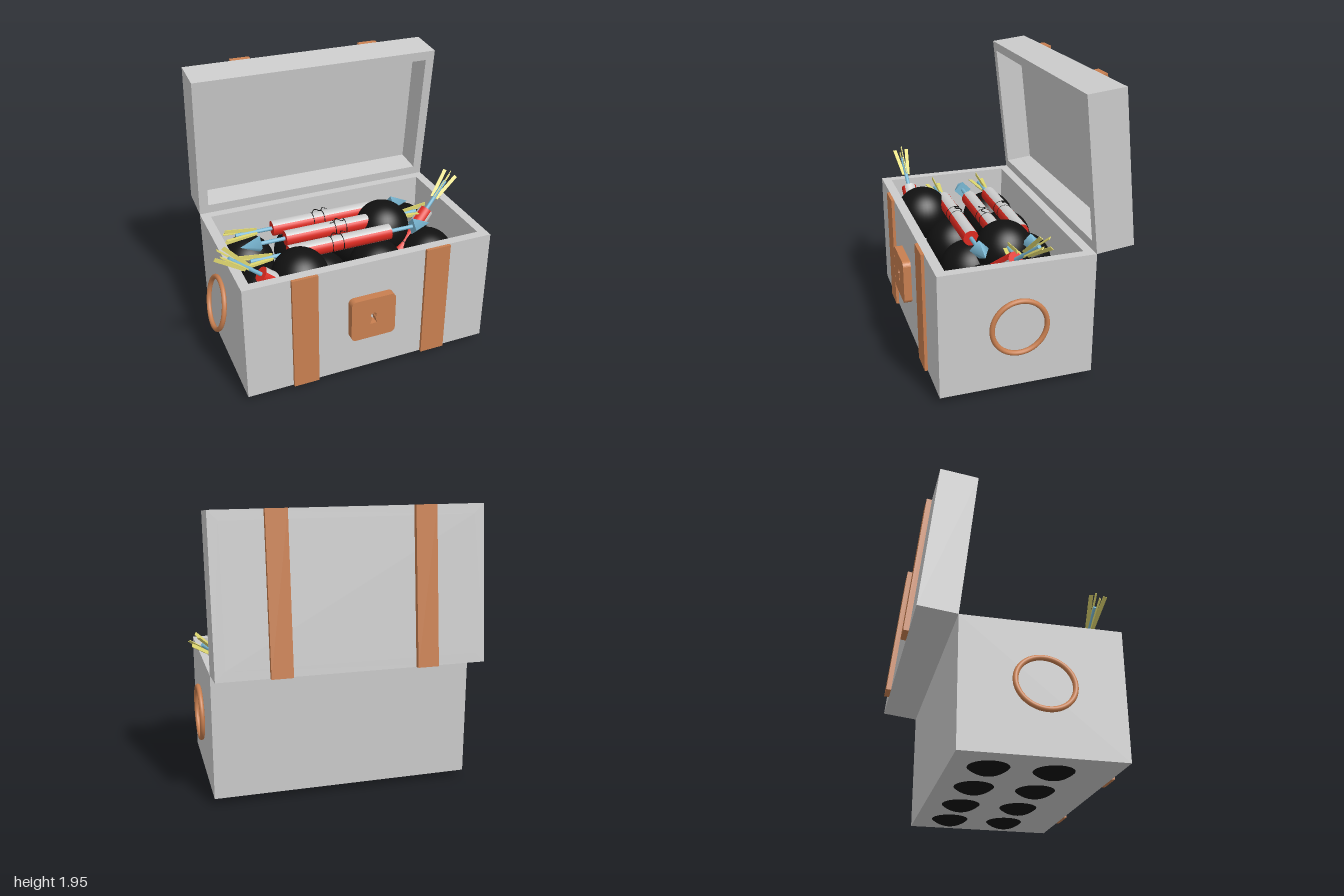
import * as THREE from 'three';

const mat = (color) => new THREE.MeshStandardMaterial({ color });
const grey = mat(0xcccccc), copper = mat(0xc87f50), black = mat(0x111111);
const red = mat(0xdd2a20), blue = mat(0x7ab8d4), yellow = mat(0xe0d870);

function add(parent, name, geometry, material, x = 0, y = 0, z = 0) {
  const mesh = new THREE.Mesh(geometry, material);
  mesh.name = name;
  mesh.position.set(x, y, z);
  parent.add(mesh);
  return mesh;
}

// rectangle outline centred on the origin
function rect(path, w, h) {
  path.moveTo(-w / 2, -h / 2).lineTo(w / 2, -h / 2).lineTo(w / 2, h / 2).lineTo(-w / 2, h / 2).closePath();
  return path;
}

// hollow tray, floor at z = 0, open towards +z
function tray(name, w, h, depth, wall) {
  const group = new THREE.Group();
  group.name = name;
  const shape = rect(new THREE.Shape(), w, h);
  shape.holes.push(rect(new THREE.Path(), w - 2 * wall, h - 2 * wall));
  add(group, 'walls', new THREE.ExtrudeGeometry(shape, { depth, bevelEnabled: false }), grey);
  add(group, 'floor', new THREE.BoxGeometry(w - 2 * wall, h - 2 * wall, wall), grey, 0, 0, wall / 2);
  return group;
}

// lock plate with clipped corners and a keyhole
function lockGeometry() {
  const w = 0.16, h = 0.157, c = 0.03;
  const shape = new THREE.Shape();
  shape.moveTo(-w + c, -h).lineTo(w - c, -h).quadraticCurveTo(w - c * 0.2, -h + c * 0.2, w, -h + c);
  shape.lineTo(w, h - c).quadraticCurveTo(w - c * 0.2, h - c * 0.2, w - c, h);
  shape.lineTo(-w + c, h).quadraticCurveTo(-w + c * 0.2, h - c * 0.2, -w, h - c);
  shape.lineTo(-w, -h + c).quadraticCurveTo(-w + c * 0.2, -h + c * 0.2, -w + c, -h);
  const hole = new THREE.Path();
  hole.moveTo(-0.024, -0.045).lineTo(0.024, -0.045).lineTo(0.011, 0.003);
  hole.absarc(0, 0.02, 0.021, -1, Math.PI + 1, false);
  hole.closePath();
  shape.holes.push(hole);
  return new THREE.ExtrudeGeometry(shape, { depth: 0.055, bevelEnabled: false, curveSegments: 6 });
}

// arrow with a striped tube round its shaft, centred and pointing along +x
function rocketArrow() {
  const group = new THREE.Group();
  group.name = 'rocketArrow';
  const along = (name, geometry, material, x) => {
    const mesh = add(group, name, geometry, material, x);
    mesh.rotation.z = -Math.PI / 2;
    return mesh;
  };
  along('shaft', new THREE.CylinderGeometry(0.014, 0.014, 1.2, 12), blue, -0.03);
  along('arrowHead', new THREE.ConeGeometry(0.065, 0.14, 4).toNonIndexed(), blue, 0.635);
  along('tubeCore', new THREE.CylinderGeometry(0.053, 0.053, 0.748, 24), red, 0.01);
  for (let i = 0; i < 4; i++) {
    along('tubeStripe', new THREE.CylinderGeometry(0.055, 0.055, 0.75, 8, 1, true,
      Math.PI * (i / 2 + 0.25), Math.PI / 2), i % 2 ? red : grey, 0.01);
  }
  // binding cords and a loose fuse
  for (const x of [-0.06, 0.02]) {
    add(group, 'cord', new THREE.TorusGeometry(0.055, 0.003, 6, 24), black, x).rotation.y = Math.PI / 2;
  }
  const fuse = new THREE.CatmullRomCurve3([[-0.06, 0.056, 0], [-0.03, 0.066, -0.03], [0, 0.07, 0.01],
    [0.03, 0.068, -0.03], [0.06, 0.06, -0.02]].map((p) => new THREE.Vector3(...p)));
  add(group, 'fuse', new THREE.TubeGeometry(fuse, 20, 0.003, 6), black);
  // splayed flights at the tail
  for (let i = 0; i < 4; i++) {
    const holder = new THREE.Group();
    holder.name = 'flight';
    holder.rotation.x = i * Math.PI / 2;
    add(holder, 'vane', new THREE.BoxGeometry(0.23, 0.026, 0.005), yellow, -0.592, 0.031, 0).rotation.z = -0.13;
    group.add(holder);
  }
  return group;
}

export function createModel() {
  const model = new THREE.Group();
  model.name = 'treasureChest';
  const midX = 0.015;

  // chest body
  const body = tray('chestBody', 1.77, 1.03, 0.85, 0.065);
  body.rotation.x = -Math.PI / 2;
  body.position.set(midX, 0.05, 0.112);
  model.add(body);
  for (const x of [-0.462, 0.49]) {
    add(model, 'frontStrap', new THREE.BoxGeometry(0.178, 0.85, 0.022), copper, x, 0.475, 0.637);
  }
  add(model, 'lockPlate', lockGeometry(), copper, 0.005, 0.492, 0.63);

  // ring handles
  const ring = new THREE.TorusGeometry(0.182, 0.017, 12, 48);
  for (const [x, tilt] of [[0.925, 0], [-0.917, -0.2]]) {
    const handle = new THREE.Group();
    handle.name = 'ringHandle';
    handle.position.set(x, 0.483, 0.11);
    handle.rotation.z = tilt;
    add(handle, 'ring', ring, copper).rotation.y = Math.PI / 2;
    model.add(handle);
  }

  // lid, hinged open at the back edge
  const lid = new THREE.Group();
  lid.name = 'lid';
  lid.position.set(midX, 0.9, -0.402);
  lid.rotation.x = 0.111;
  const shell = tray('lidShell', 1.77, 1.03, 0.255, 0.065);
  shell.position.set(0, 0.515, -0.255);
  lid.add(shell);
  for (const x of [-0.48, 0.475]) {
    add(lid, 'lidStrap', new THREE.BoxGeometry(0.14, 1.03, 0.036), copper, x, 0.515, -0.273);
  }
  model.add(lid);

  // cannonballs: two layers and two loose ones on top
  const ball = new THREE.SphereGeometry(0.195, 40, 28);
  for (const y of [0.197, 0.585]) {
    for (const z of [-0.16, 0.24]) {
      for (const x of [-0.61, -0.2, 0.225, 0.63]) add(model, 'cannonball', ball, black, x, y, z);
    }
  }
  add(model, 'cannonball', ball, black, 0.365, 0.762, 0.03);
  add(model, 'cannonball', ball, black, -0.41, 0.762, 0.41);

  // rocket arrows: tail position and direction
  const axis = new THREE.Vector3(1, 0, 0);
  for (const [tail, dir] of [
    [[-0.77, 0.845, -0.11], [1, 0, 0]],
    [[0.7, 0.845, 0.055], [-1, 0, 0]],
    [[-0.77, 0.845, 0.245], [1, 0, 0]],
    [[-0.95, 1.09, 0.455], [0.77, -0.64, -0.01]],
    [[0.955, 1.05, -0.04], [-0.73, -0.61, 0.31]],
  ]) {
    const arrow = rocketArrow();
    const d = new THREE.Vector3(...dir).normalize();
    arrow.quaternion.setFromUnitVectors(axis, d);
    arrow.position.set(...tail).addScaledVector(d, 0.705);
    model.add(arrow);
  }
  return model;
}
